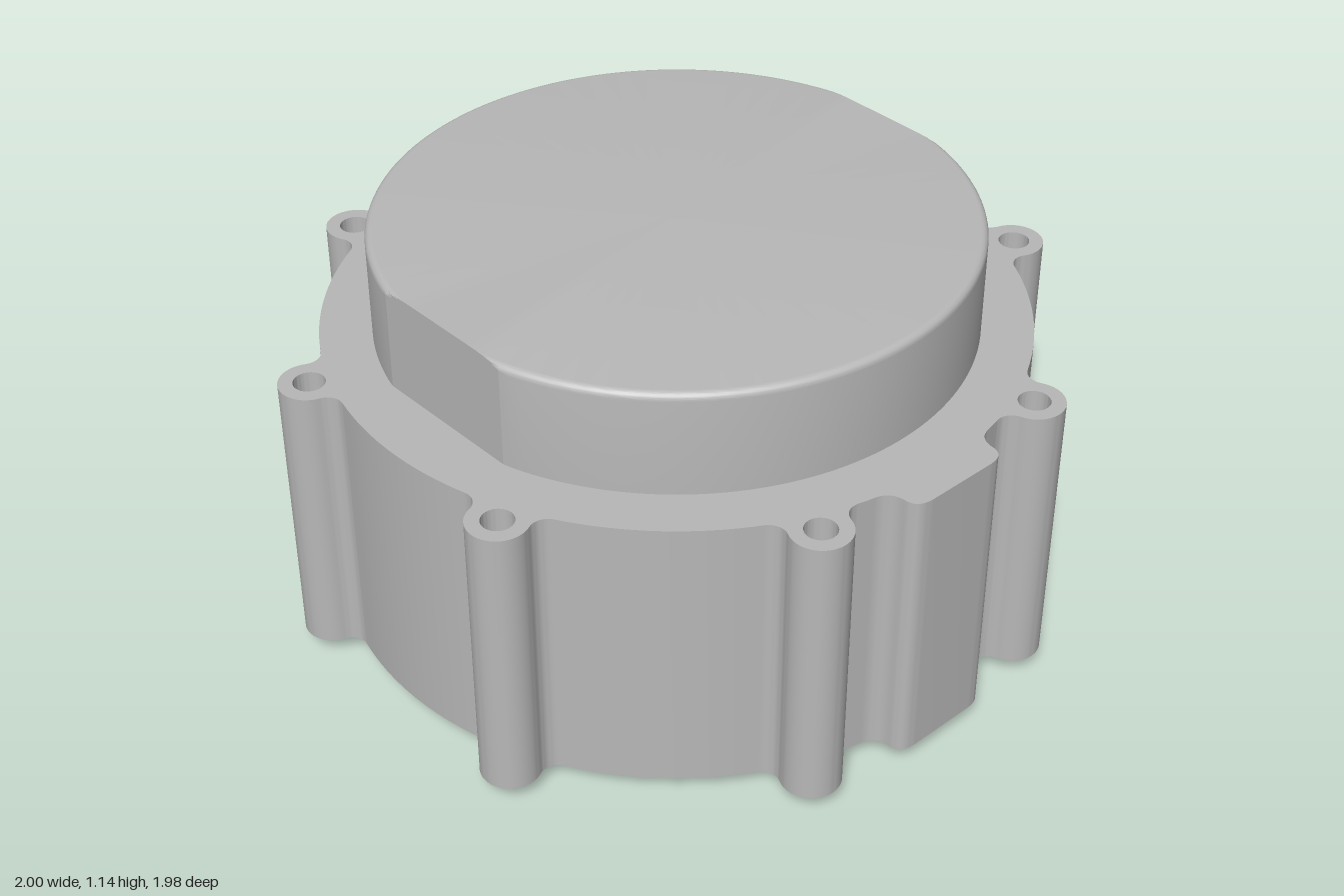
import * as THREE from 'three';
import { toCreasedNormals } from 'three/addons/utils/BufferGeometryUtils.js';

const R = 0.935, LUG_DIST = 0.985, LUG_R = 0.08, FILLET = 0.045;
const BASE_Y = 0.055, FLANGE_Y = 0.85, TOP_Y = 1.14;

// Points along an arc
function arc(cx, cy, r, a0, a1, n) {
  return Array.from({ length: n + 1 }, (_, i) => {
    const a = a0 + (a1 - a0) * i / n;
    return new THREE.Vector2(cx + r * Math.cos(a), cy + r * Math.sin(a));
  });
}

function circle(r, x = 0, y = 0) {
  return new THREE.Shape().absarc(x, y, r, 0, Math.PI * 2, false);
}

// Upright extrusion between two heights
function slab(shape, y0, y1, segments = 32) {
  const g = new THREE.ExtrudeGeometry(shape, { depth: y1 - y0, bevelEnabled: false, curveSegments: segments });
  g.rotateX(-Math.PI / 2).translate(0, y0, 0);
  return toCreasedNormals(g, 0.4);
}

// Round housing outline with eight filleted bolt lugs and one side pad
function housingShape() {
  const d = R + FILLET, s = LUG_R + FILLET;
  const delta = Math.acos((d * d + LUG_DIST * LUG_DIST - s * s) / (2 * d * LUG_DIST));
  const fx = d * Math.cos(delta), fy = -d * Math.sin(delta);
  const beta = Math.atan2(fy, fx - LUG_DIST);
  const lug = [
    ...arc(fx, fy, FILLET, Math.PI - delta, beta + Math.PI, 10),
    ...arc(LUG_DIST, 0, LUG_R, beta, -beta, 28).slice(1),
    ...arc(fx, -fy, FILLET, -beta - Math.PI, delta - Math.PI, 10).slice(1),
  ];
  const origin = new THREE.Vector2();
  const pts = [];
  for (let k = 0; k < 8; k++) {
    const phi = Math.PI / 8 + k * Math.PI / 4;
    pts.push(...lug.map(p => p.clone().rotateAround(origin, phi)));
    if (k < 7) pts.push(...arc(0, 0, R, phi + delta, phi + Math.PI / 4 - delta, 16).slice(1, -1));
  }
  // Side pad on +x
  const v = (x, y) => new THREE.Vector2(x, y);
  const half = [
    ...new THREE.QuadraticBezierCurve(v(0.911, -0.21), v(0.918, -0.158), v(0.965, -0.155)).getPoints(10),
    ...new THREE.QuadraticBezierCurve(v(0.965, -0.155), v(1.01, -0.155), v(1.01, -0.1)).getPoints(10).slice(1),
  ];
  pts.push(...half, ...half.map(p => v(p.x, -p.y)).reverse());

  const shape = new THREE.Shape(pts);
  for (let k = 0; k < 8; k++) {
    const phi = Math.PI / 8 + k * Math.PI / 4;
    shape.holes.push(circle(0.042, LUG_DIST * Math.cos(phi), LUG_DIST * Math.sin(phi)));
  }
  shape.holes.push(circle(0.465));
  return shape;
}

// Hub face with bore, nine small holes and three curved slots
function hubShape() {
  const shape = circle(0.47);
  shape.holes.push(circle(0.2));
  for (let k = 0; k < 12; k++) {
    const a = k * Math.PI / 6;
    if (k % 4) {
      shape.holes.push(circle(0.03, 0.305 * Math.cos(a), 0.305 * Math.sin(a)));
    } else {
      const w = 0.25;
      shape.holes.push(new THREE.Path([
        ...arc(0, 0, 0.36, a - w, a + w, 10),
        ...arc(0, 0, 0.25, a + w, a - w, 10),
      ]));
    }
  }
  return shape;
}

// Rounded-edge cap with two flats, made by clamping z
function capGeometry() {
  const r = 0.797, e = 0.02;
  const profile = [
    new THREE.Vector2(r, FLANGE_Y),
    ...arc(r - e, TOP_Y - e, e, 0, Math.PI / 2, 10),
    new THREE.Vector2(0, TOP_Y),
  ];
  const g = new THREE.LatheGeometry(profile, 180);
  const p = g.attributes.position;
  for (let i = 0; i < p.count; i++) p.setZ(i, THREE.MathUtils.clamp(p.getZ(i), -0.765, 0.765));
  return toCreasedNormals(g, 0.22);
}

export function createModel() {
  const grey = new THREE.MeshStandardMaterial({ color: 0xb8b8b8 });
  grey.name = 'metalGrey';
  const model = new THREE.Group();
  model.name = 'motorHousing';
  const add = (name, geometry) => {
    const m = new THREE.Mesh(geometry, grey);
    m.name = name;
    m.position.x = -0.01;
    model.add(m);
  };

  add('housing', slab(housingShape(), BASE_Y, FLANGE_Y));
  add('cap', capGeometry());

  // Raised locating ring on the underside
  const ring = circle(0.7);
  ring.holes.push(circle(0.59));
  add('locatingRing', slab(ring, 0, BASE_Y, 96));

  // Output hub and the stepped floor behind its holes
  add('hub', slab(hubShape(), 0, 0.11, 48));
  const floor = circle(0.468);
  floor.holes.push(circle(0.03));
  add('boreFloor', slab(floor, 0.11, 0.18, 48));
  add('pinholeFloor', slab(circle(0.1), 0.18, 0.2));
  return model;
}
